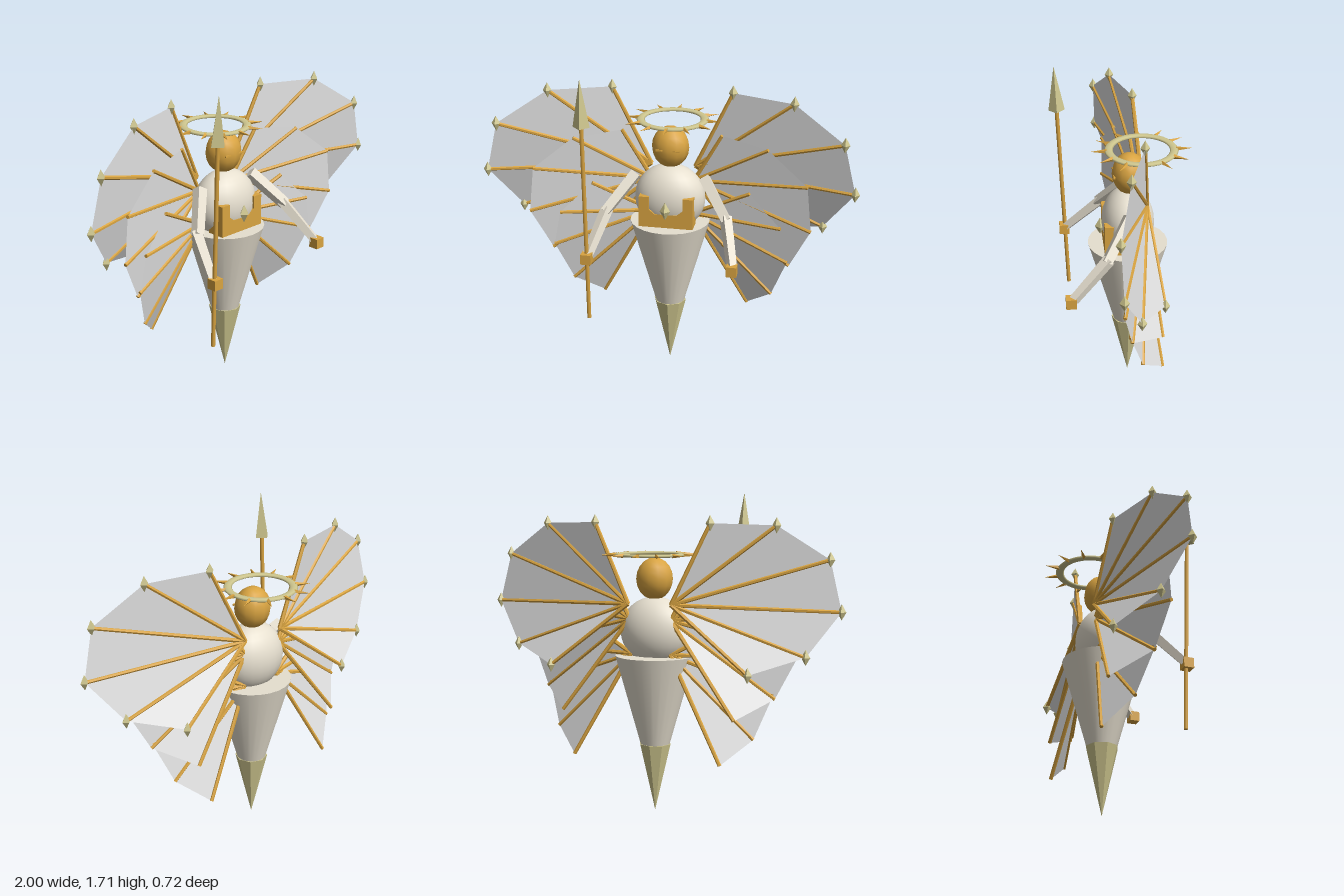
import * as THREE from 'three';

const material = (name, color, extra = {}) => {
  const m = new THREE.MeshStandardMaterial({ color, ...extra });
  m.name = name;
  return m;
};

export function createModel() {
  const model = new THREE.Group();
  const ivory = material('ivory', 0xe6dfcf);
  const ivoryFlat = ivory;
  const gold = material('gold', 0xd9a441);
  const brass = material('pale brass', 0xcfc78f);
  const web = material('wing grey', 0xe0e0e0, { side: THREE.DoubleSide });

  // Separate faces so that smooth normals are not shared
  const faceted = (g) => {
    const f = g.index ? g.toNonIndexed() : g;
    f.computeVertexNormals();
    return f;
  };
  const add = (parent, name, geo, mat, x = 0, y = 0, z = 0) => {
    const mesh = new THREE.Mesh(geo, mat);
    mesh.name = name;
    mesh.position.set(x, y, z);
    parent.add(mesh);
    return mesh;
  };
  // Straight bar from a to b
  const bar = (parent, name, a, b, r0, r1, sides, mat) => {
    const p = new THREE.Vector3(...a), q = new THREE.Vector3(...b);
    const d = q.clone().sub(p);
    const geo = faceted(new THREE.CylinderGeometry(r1, r0, d.length(), sides).rotateY(Math.PI / 4));
    const mesh = add(parent, name, geo, mat);
    mesh.position.copy(p).add(q).multiplyScalar(0.5);
    mesh.quaternion.setFromUnitVectors(new THREE.Vector3(0, 1, 0), d.normalize());
    return mesh;
  };
  const gem = (parent, name, x, y, z, r, h) =>
    add(parent, name, faceted(new THREE.OctahedronGeometry(1).scale(r, h, r)), brass, x, y, z);

  // Body
  const axis = -0.022;
  add(model, 'skirt', new THREE.CylinderGeometry(0.214, 0.078, 0.485, 24), ivory, 0, 0.608, axis);
  add(model, 'skirtTip', faceted(new THREE.ConeGeometry(0.088, 0.37, 8).rotateX(Math.PI)), brass, 0, 0.185, axis);
  add(model, 'torso', new THREE.SphereGeometry(1, 24, 16).scale(0.19, 0.185, 0.14), ivory, 0, 0.98, axis);

  // Head with narrow eye slits
  add(model, 'head', new THREE.SphereGeometry(1, 12, 10).scale(0.1, 0.112, 0.092), gold, 0, 1.26, -0.03);
  for (const s of [-1, 1]) {
    add(model, 'eyeSlit', new THREE.BoxGeometry(0.038, 0.008, 0.009), gold, s * 0.045, 1.262, 0.052);
  }

  // Notched breastplate
  const plate = new THREE.Shape([
    [-0.145, 0.85], [0.145, 0.85], [0.145, 1.02], [0.09, 1.02], [0.09, 0.95],
    [0.06, 0.925], [-0.06, 0.925], [-0.09, 0.95], [-0.09, 1.02], [-0.145, 1.02],
  ].map(([x, y]) => new THREE.Vector2(x, y)));
  add(model, 'breastplate', new THREE.ExtrudeGeometry(plate, { depth: 0.1, bevelEnabled: false }), gold, 0, 0, 0.01);
  gem(model, 'chestGem', 0, 0.952, 0.125, 0.028, 0.05);

  // Halo: flat ring with radial spikes
  const halo = new THREE.Group();
  halo.name = 'halo';
  halo.position.set(0, 1.39, -0.092);
  model.add(halo);
  add(halo, 'haloRing', new THREE.TorusGeometry(0.169, 0.022, 8, 32).rotateX(Math.PI / 2).scale(1, 0.4, 1), brass);
  for (let i = 0; i < 12; i++) {
    const a = (i / 12) * Math.PI * 2, c = Math.cos(a), s = Math.sin(a);
    bar(halo, 'haloSpike', [c * 0.18, 0, s * 0.18], [c * 0.26, 0, s * 0.26], 0.012, 0.0005, 4, gold);
  }

  // Arms and hands
  for (const s of [-1, 1]) {
    bar(model, 'upperArm', [s * 0.185, 1.1, -0.015], [s * 0.325, 0.92, 0.115], 0.038, 0.034, 4, ivoryFlat);
    bar(model, 'forearm', [s * 0.318, 0.935, 0.1], [s * 0.382, 0.74, 0.29], 0.034, 0.028, 4, ivoryFlat);
    add(model, 'hand', new THREE.BoxGeometry(0.055, 0.055, 0.055), gold, s * 0.383, 0.73, 0.303);
  }

  // Spear in the right hand, leaning slightly forward
  const spear = new THREE.Group();
  spear.name = 'spear';
  spear.position.set(-0.383, 0.37, 0.285);
  spear.rotation.x = 0.037;
  model.add(spear);
  add(spear, 'spearShaft', new THREE.CylinderGeometry(0.011, 0.011, 1.1, 8), gold, 0, 0.55, 0);
  add(spear, 'spearHead', faceted(new THREE.ConeGeometry(0.044, 0.25, 4)), brass, 0, 1.215, 0);

  // Wings: three fans per side, each a root and its rib tips
  const fans = [
    { name: 'upperFan', root: [0.12, 1.13, -0.11], gems: true, tips: [
      [0.32, 1.555, -0.075], [0.645, 1.545, 0.022], [0.911, 1.37, 0.095],
      [0.976, 1.105, 0.085], [0.816, 0.876, -0.015], [0.55, 0.79, -0.16]] },
    { name: 'middleFan', root: [0.115, 1.05, -0.1], tips: [
      [0.268, 1.325, -0.06], [0.52, 1.287, 0.012], [0.733, 1.116, 0.06],
      [0.76, 0.87, 0.062], [0.65, 0.645, 0.015], [0.48, 0.55, -0.16]] },
    { name: 'lowerFan', root: [0.11, 0.865, -0.09], tips: [
      [0.427, 1.03, -0.01], [0.6, 0.86, 0.03], [0.64, 0.665, 0.022],
      [0.555, 0.436, -0.05], [0.41, 0.312, -0.17]] },
  ];
  for (const s of [-1, 1]) {
    const wing = new THREE.Group();
    wing.name = s > 0 ? 'leftWing' : 'rightWing';
    model.add(wing);
    for (const { name, root, tips, gems } of fans) {
      const side = ([x, y, z]) => [s * x, y, z];
      const points = [];
      tips.forEach((tip, i) => {
        bar(wing, 'wingRib', side(root), side(tip), 0.012, 0.01, 6, gold);
        if (gems) gem(wing, 'ribGem', ...side(tip), 0.024, 0.042);
        if (i) {
          const tri = s > 0 ? [root, tip, tips[i - 1]] : [root, tips[i - 1], tip];
          tri.forEach((p) => points.push(...side(p)));
        }
      });
      const geo = new THREE.BufferGeometry();
      geo.setAttribute('position', new THREE.Float32BufferAttribute(points, 3));
      geo.computeVertexNormals();
      add(wing, name, geo, web);
    }
  }
  return model;
}
